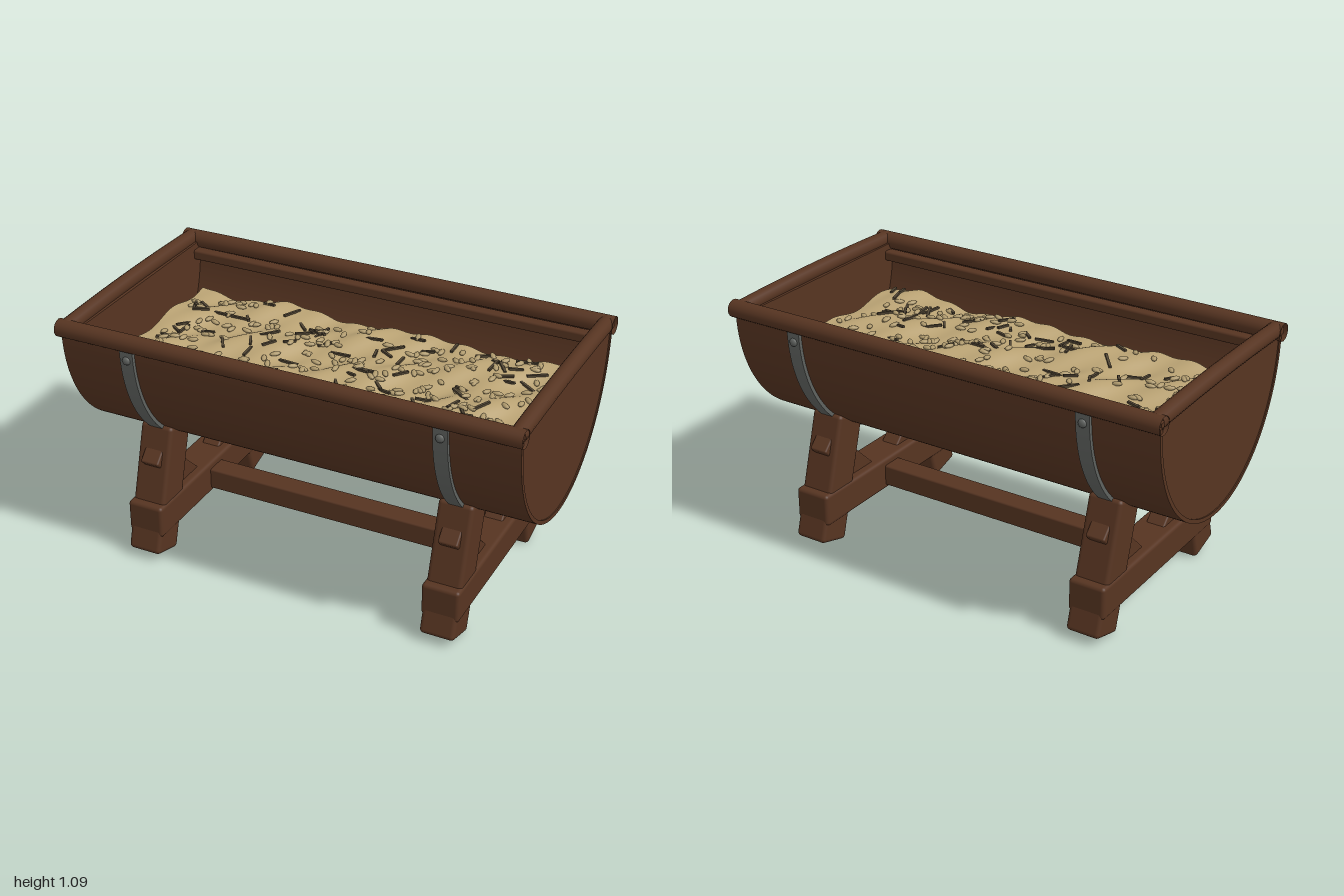
import * as THREE from 'three';
import { mergeGeometries, toCreasedNormals } from 'three/addons/utils/BufferGeometryUtils.js';
import { RoundedBoxGeometry } from 'three/addons/geometries/RoundedBoxGeometry.js';

const RIM_Y = 1.02; // height of the straight trough edge
const BAND_X = 0.675; // frames and iron bands sit at plus and minus this

export function createModel() {
  const wood = new THREE.MeshStandardMaterial({ name: 'dark wood', color: 0x563421 });
  const openWood = new THREE.MeshStandardMaterial({ name: 'rail wood', color: 0x563421, side: THREE.DoubleSide });
  const iron = new THREE.MeshStandardMaterial({ name: 'grey iron', color: 0x5f625f });
  const feed = new THREE.MeshStandardMaterial({ name: 'feed', color: 0xb9a273 });
  const kernel = new THREE.MeshStandardMaterial({ name: 'kernel', color: 0xb09b6e });
  const straw = new THREE.MeshStandardMaterial({ name: 'dark straw', color: 0x4f4433 });

  const model = new THREE.Group();
  model.name = 'feedTrough';

  const add = (parent, name, geometry, material, x = 0, y = 0, z = 0) => {
    const mesh = new THREE.Mesh(geometry, material);
    mesh.name = name;
    mesh.position.set(x, y, z);
    parent.add(mesh);
    return mesh;
  };

  // Extrude a cross-section along x, centred on x = 0
  const alongX = (shape, length) => {
    const g = new THREE.ExtrudeGeometry(shape, { depth: length, bevelEnabled: false, curveSegments: 48 });
    g.translate(0, 0, -length / 2).rotateY(Math.PI / 2);
    return toCreasedNormals(g, 0.6);
  };

  // U-shaped section between two half ellipses
  const uShape = (aOut, bOut, aIn, bIn) => {
    const s = new THREE.Shape();
    s.moveTo(-aOut, RIM_Y);
    s.absellipse(0, RIM_Y, aOut, bOut, Math.PI, 2 * Math.PI, false);
    s.lineTo(aIn, RIM_Y);
    s.absellipse(0, RIM_Y, aIn, bIn, 2 * Math.PI, Math.PI, true);
    s.closePath();
    return s;
  };

  // Trough shell and end boards
  const trough = new THREE.Group();
  trough.name = 'trough';
  model.add(trough);
  add(trough, 'shell', alongX(uShape(0.505, 0.575, 0.488, 0.558), 1.976), wood);
  const endShape = new THREE.Shape();
  endShape.moveTo(-0.49, 1.035);
  endShape.lineTo(-0.49, RIM_Y);
  endShape.absellipse(0, RIM_Y, 0.49, 0.56, Math.PI, 2 * Math.PI, false);
  endShape.lineTo(0.49, 1.035);
  endShape.closePath();
  for (const s of [-1, 1]) add(trough, 'endBoard', alongX(endShape, 0.06), wood, s * 0.953);

  // Slightly bowed rails around the rim, with a batten inside each long side
  const rail = (name, a, mid, b, radius) => {
    const curve = new THREE.QuadraticBezierCurve3(
      new THREE.Vector3(...a), new THREE.Vector3(...mid), new THREE.Vector3(...b));
    add(trough, name, new THREE.TubeGeometry(curve, 16, radius, 16), openWood);
  };
  for (const s of [-1, 1]) {
    rail('longRail', [-1, 1.036, s * 0.5], [0, 1.042, s * 0.502], [1, 1.038, s * 0.5], 0.038);
    rail('endRail', [s * 0.965, 1.043, -0.5], [s * 0.965, 1.062, 0], [s * 0.965, 1.043, 0.5], 0.034);
    add(trough, 'innerBatten', new RoundedBoxGeometry(1.86, 0.045, 0.05, 2, 0.01), wood, 0, 0.985, s * 0.458);
  }

  // Iron bands with a rivet near each end
  const bandGeo = alongX(uShape(0.521, 0.591, 0.5, 0.57), 0.06);
  const rivetGeo = new THREE.SphereGeometry(0.018, 14, 10);
  rivetGeo.scale(1, 1, 0.7);
  for (const x of [-BAND_X, BAND_X]) {
    add(trough, 'ironBand', bandGeo, iron, x);
    for (const s of [-1, 1]) add(trough, 'rivet', rivetGeo, iron, x, 0.968, s * 0.519);
  }

  // A-frame stands: splayed legs, cross beam and diagonal braces through the legs
  const legGeo = new RoundedBoxGeometry(0.15, 0.565, 0.157, 3, 0.018);
  const beamGeo = new RoundedBoxGeometry(0.162, 0.145, 0.925, 3, 0.016);
  const braceGeo = new RoundedBoxGeometry(0.085, 0.365, 0.1, 2, 0.008);
  for (const x of [-BAND_X, BAND_X]) {
    const stand = new THREE.Group();
    stand.name = 'stand';
    stand.position.x = x;
    model.add(stand);
    add(stand, 'crossBeam', beamGeo, wood, 0, 0.181, 0);
    for (const s of [-1, 1]) {
      add(stand, 'leg', legGeo, wood, 0, 0.286, s * 0.336).rotation.x = -s * 0.285;
      add(stand, 'brace', braceGeo, wood, 0, 0.335, s * 0.244).rotation.x = s * Math.PI / 4;
    }
  }
  add(model, 'stretcher', new RoundedBoxGeometry(1.24, 0.095, 0.1, 2, 0.008), wood, 0, 0.176, 0);

  // Feed heap: a block whose top is moved into diagonal ripples
  const feedHeight = (x, z) => 0.857
    + 0.016 * Math.sin(21 * (0.5 * x + 0.87 * z))
    + 0.007 * Math.sin(13 * x - 4 * z) + 0.006 * Math.sin(37 * x + 19 * z);
  const heap = new THREE.BoxGeometry(1.72, 0.1, 0.78, 90, 1, 40);
  const p = heap.attributes.position;
  for (let i = 0; i < p.count; i++) {
    p.setY(i, p.getY(i) > 0 ? feedHeight(p.getX(i), p.getZ(i)) : 0.75);
  }
  add(model, 'feedHeap', toCreasedNormals(heap, 0.7), feed);

  // Loose kernels and straw scattered over the heap
  let seed = 7;
  const rand = () => {
    seed = (seed * 16807) % 2147483647;
    return seed / 2147483647;
  };
  const scatter = (count, make) => {
    const parts = [];
    for (let i = 0; i < count; i++) {
      const x = (rand() - 0.5) * 1.64;
      const z = (rand() - 0.5) * 0.71;
      const g = make();
      g.rotateZ((rand() - 0.5) * 0.4);
      g.rotateY(rand() * Math.PI);
      g.translate(x, feedHeight(x, z) + 0.006, z);
      parts.push(g);
    }
    return mergeGeometries(parts);
  };
  add(model, 'kernels', scatter(230, () => new THREE.SphereGeometry(1, 8, 6).scale(0.024, 0.009, 0.012)), kernel);
  add(model, 'strawBits', scatter(95, () => new THREE.BoxGeometry(0.045 + rand() * 0.055, 0.009, 0.011)), straw);

  return model;
}
